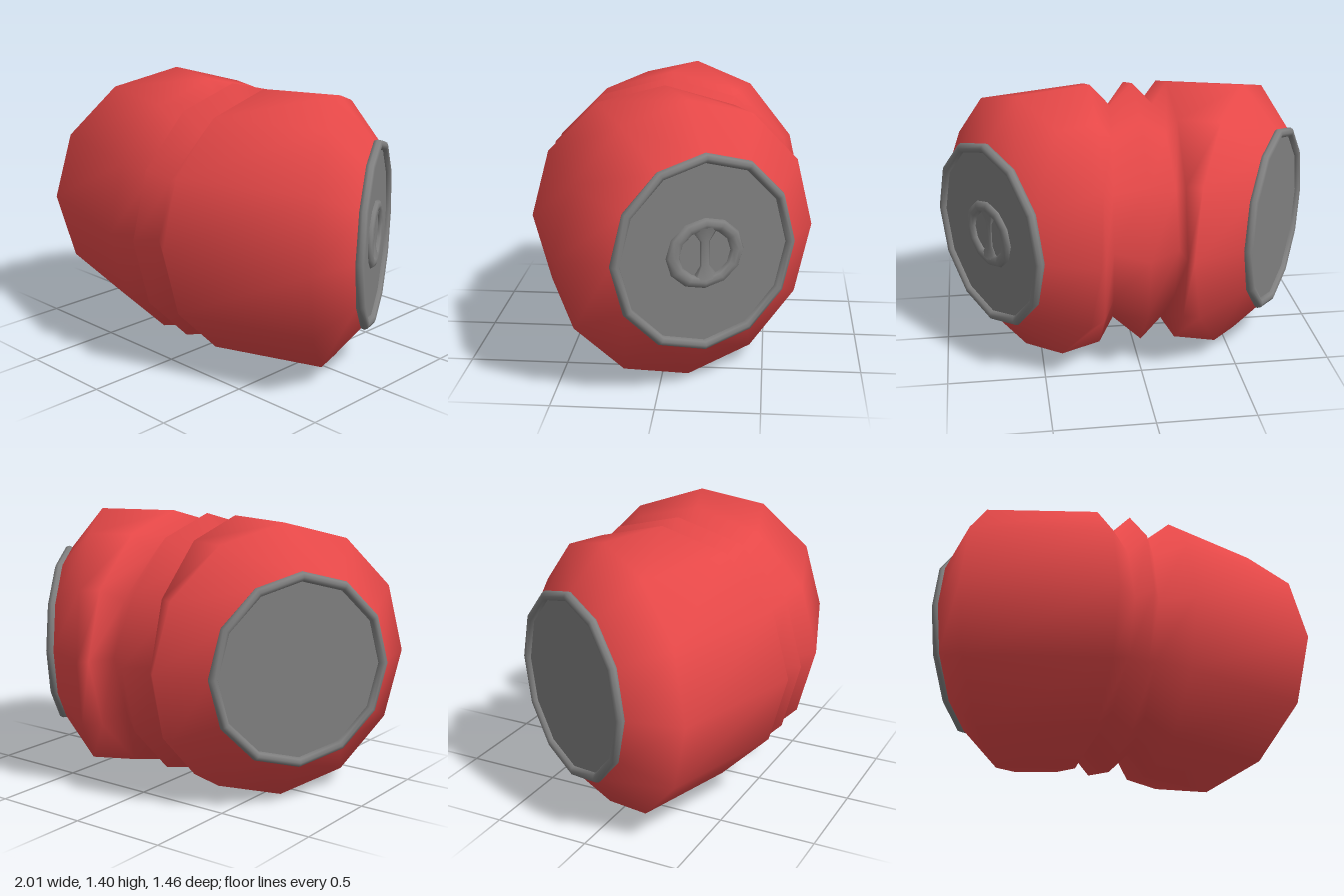
import * as THREE from 'three';

const SIDES = 12;
const MID_Y = 0.7;
const red = new THREE.MeshStandardMaterial({ color: 0xe64848 });
const grey = new THREE.MeshStandardMaterial({ color: 0x808080 });

// Skin over a row of tilted rings, each [centre x, centre z, radius, tilt in degrees]
function ringSkin(rings) {
  const positions = [], index = [];
  for (const [x, z, r, degrees] of rings) {
    const tilt = THREE.MathUtils.degToRad(degrees);
    for (let j = 0; j < SIDES; j++) {
      const a = (j / SIDES) * Math.PI * 2;
      const out = r * Math.sin(a);
      positions.push(x + out * Math.sin(tilt), MID_Y + r * Math.cos(a), z + out * Math.cos(tilt));
    }
  }
  for (let i = 0; i < rings.length - 1; i++) {
    for (let j = 0; j < SIDES; j++) {
      const k = (j + 1) % SIDES;
      const a = i * SIDES + j, b = i * SIDES + k;
      const c = a + SIDES, d = b + SIDES;
      index.push(a, b, c, b, d, c);
    }
  }
  const geometry = new THREE.BufferGeometry();
  geometry.setAttribute('position', new THREE.Float32BufferAttribute(positions, 3));
  geometry.setIndex(index);
  geometry.computeVertexNormals();
  return geometry;
}

function addMesh(parent, name, geometry, material) {
  const mesh = new THREE.Mesh(geometry, material);
  mesh.name = name;
  parent.add(mesh);
  return mesh;
}

// Flat end plate with a rounded rim, facing outward and back
function endCap(name, side, z) {
  const cap = new THREE.Group();
  cap.name = name;
  addMesh(cap, 'rim', new THREE.TorusGeometry(0.465, 0.025, 8, SIDES), grey);
  addMesh(cap, 'plate', new THREE.CircleGeometry(0.465, SIDES), grey);
  cap.position.set(side * 0.75, MID_Y, z);
  cap.rotation.y = side * Math.PI * 2 / 3;
  return cap;
}

export function createModel() {
  const model = new THREE.Group();
  model.name = 'bentSleeve';

  // Bent body with two pleats around the middle
  addMesh(model, 'body', ringSkin([
    [-0.745, -0.195, 0.475, -30],
    [-0.58, -0.096, 0.7, -30],
    [-0.2, 0.02, 0.7, 0],
    [-0.13, 0.03, 0.58, 5],
    [-0.02, 0.02, 0.7, 0],
    [0.095, 0.03, 0.58, -5],
    [0.2, 0.02, 0.7, 0],
    [0.58, -0.13, 0.7, 30],
    [0.74, -0.213, 0.475, 30],
  ]), red);

  // End caps
  model.add(endCap('rightCap', -1, -0.2));
  const leftCap = endCap('leftCap', 1, -0.22);
  model.add(leftCap);

  // Low oval boss with a waisted bar across it, on one cap only
  const boss = new THREE.Group();
  boss.name = 'boss';
  addMesh(boss, 'bossRing', new THREE.TorusGeometry(0.145, 0.03, 8, SIDES), grey);
  const waist = [[0.065, -0.13], [0.022, -0.06], [0.022, 0.06], [0.065, 0.13]];
  const bar = addMesh(boss, 'bossBar',
    new THREE.LatheGeometry(waist.map(([x, y]) => new THREE.Vector2(x, y)), 8), grey);
  bar.scale.z = 0.5;
  boss.scale.set(1.18, 1, 0.7);
  leftCap.add(boss);

  return model;
}
